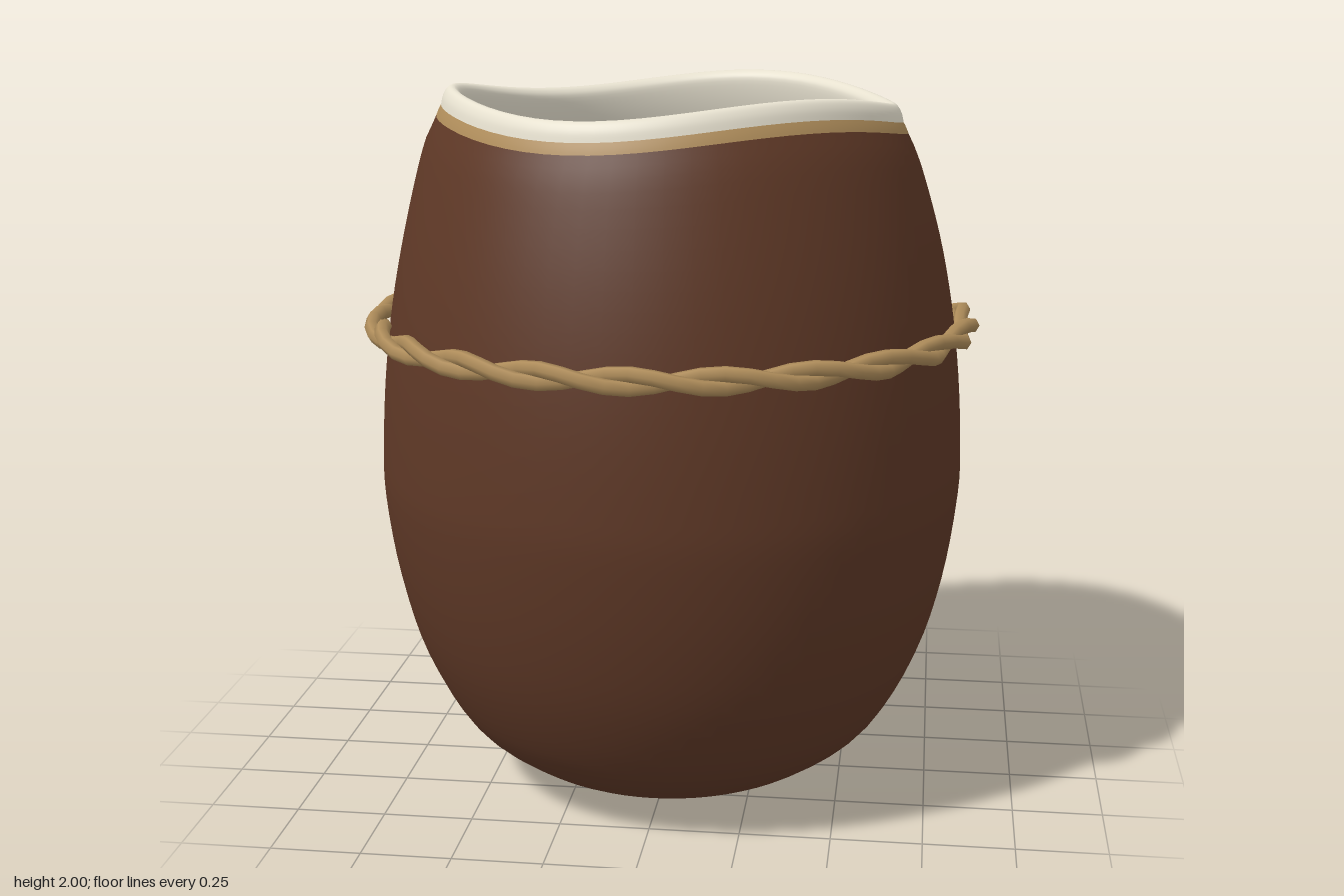
import * as THREE from 'three';

const mat = (name, color) => {
  const m = new THREE.MeshStandardMaterial({ color });
  m.name = name;
  return m;
};

// Three gentle waves around the mouth, fading out down the wall
function wave(geo) {
  const p = geo.attributes.position;
  for (let i = 0; i < p.count; i++) {
    const x = p.getX(i), y = p.getY(i), z = p.getZ(i);
    const w = THREE.MathUtils.smoothstep(y, 1.5, 1.9);
    const a = Math.atan2(z, x);
    p.setY(i, y + w * 0.025 * Math.cos(3 * (a - 0.87)));
    const outer = Math.hypot(x, z) > 0.6 && y > 1.85 ? 0.012 * w : 0;
    p.setZ(i, z - outer);
  }
  return geo;
}

// Smooth turned surface through a few [radius, height] points
function turned(name, points, steps, material) {
  const curve = new THREE.SplineCurve(points.map(([r, y]) => new THREE.Vector2(r, y)));
  const profile = curve.getPoints(steps);
  profile.forEach((p) => { p.x = Math.max(p.x, 0); });
  const mesh = new THREE.Mesh(wave(new THREE.LatheGeometry(profile, 64)), material);
  mesh.name = name;
  return mesh;
}

// One strand of the rope, winding around a ring
class Strand extends THREE.Curve {
  constructor(phase) {
    super();
    this.phase = phase;
  }
  getPoint(t, target = new THREE.Vector3()) {
    const a = t * Math.PI * 2;
    const b = a * 11 + this.phase;
    const r = 0.825 + 0.018 * Math.cos(b);
    return target.set(r * Math.cos(a), 1.34 + 0.018 * Math.sin(b), r * Math.sin(a));
  }
}

export function createModel() {
  const brown = mat('shell brown', 0x5e3826);
  const tan = mat('husk tan', 0xae8c5a);
  const cream = mat('flesh cream', 0xeee8d6);

  const group = new THREE.Group();
  group.name = 'coconutCup';

  // Outside of the shell
  group.add(turned('outerShell', [
    [0.26, 0], [0.36, 0.03], [0.48, 0.09], [0.61, 0.2], [0.72, 0.4], [0.785, 0.62],
    [0.82, 0.85], [0.822, 1.0], [0.81, 1.2], [0.785, 1.4], [0.745, 1.6], [0.69, 1.8], [0.652, 1.89],
  ], 48, brown));
  const base = new THREE.Mesh(new THREE.CircleGeometry(0.26, 64), brown);
  base.rotation.x = Math.PI / 2;
  base.name = 'base';
  group.add(base);

  // Thin husk edge below the rounded cream lip
  group.add(turned('outerHuskBand', [[0.652, 1.89], [0.646, 1.905], [0.638, 1.92]], 4, tan));
  group.add(turned('lip', [
    [0.638, 1.92], [0.632, 1.945], [0.62, 1.965], [0.605, 1.971], [0.588, 1.963], [0.579, 1.94],
    [0.588, 1.88], [0.612, 1.8], [0.632, 1.73],
  ], 32, cream));

  // Hollow inside
  group.add(turned('innerHuskBand', [[0.632, 1.73], [0.647, 1.675], [0.66, 1.62]], 6, tan));
  group.add(turned('innerBowl', [
    [0.66, 1.62], [0.71, 1.4], [0.74, 1.0], [0.69, 0.6], [0.55, 0.3], [0.3, 0.14], [0, 0.11],
  ], 36, brown));

  // Twisted rope tied around the shell
  const rope = new THREE.Group();
  rope.name = 'rope';
  for (const phase of [0, Math.PI]) {
    const strand = new THREE.Mesh(new THREE.TubeGeometry(new Strand(phase), 88, 0.021, 6, true), tan);
    strand.name = 'ropeStrand';
    rope.add(strand);
  }
  group.add(rope);

  return group;
}
